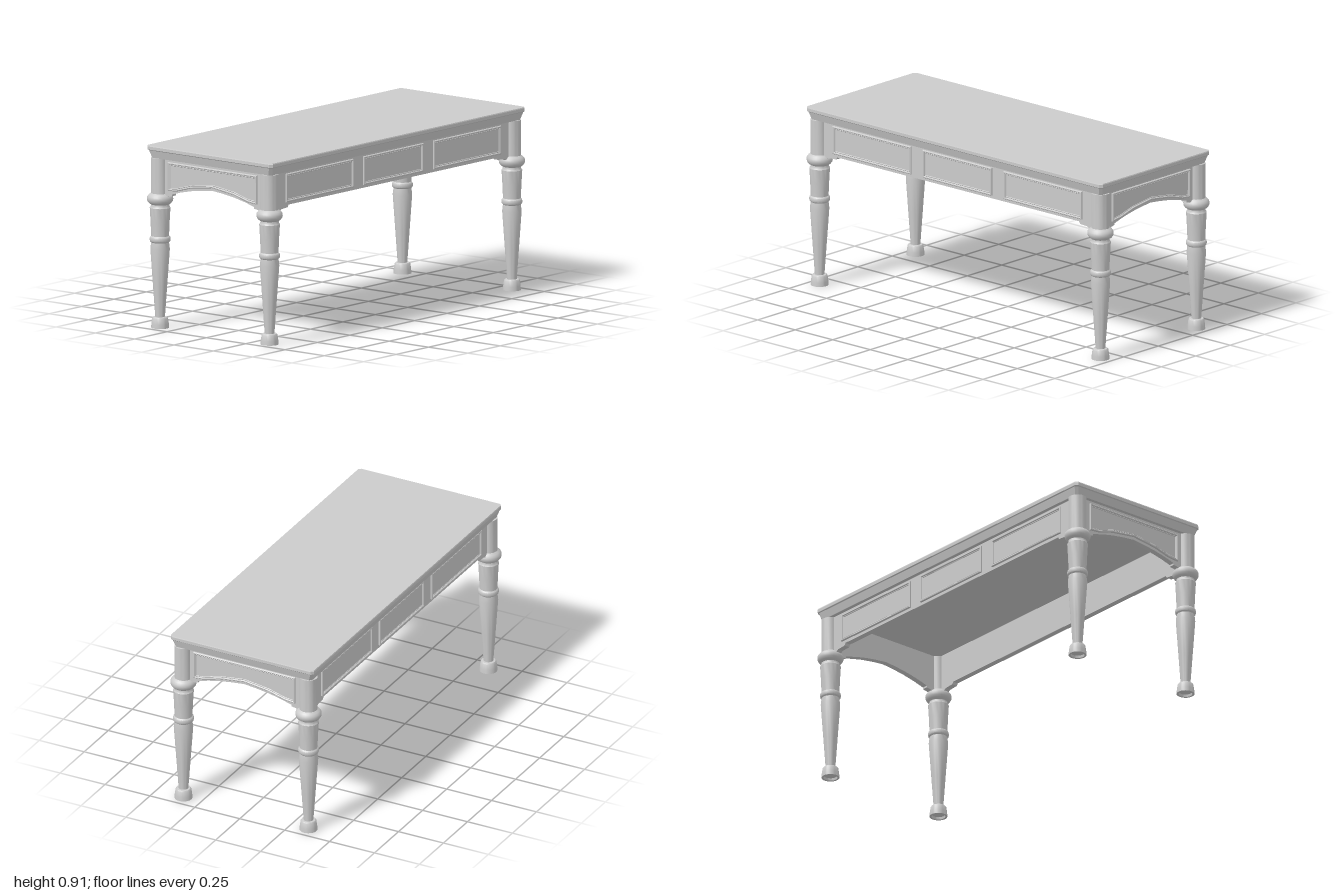
import * as THREE from 'three';
import { toCreasedNormals } from 'three/addons/utils/BufferGeometryUtils.js';

const material = new THREE.MeshStandardMaterial({ color: 0xcccccc });
const TOP_Y = 0.85;

function part(name, geometry, crease = 0.6) {
  const mesh = new THREE.Mesh(toCreasedNormals(geometry, crease), material);
  mesh.name = name;
  return mesh;
}

const points = (list) => list.map(([x, y]) => new THREE.Vector2(x, y));

// Closes a left-right symmetric outline from its right half (listed bottom to top)
function mirrored(half) {
  const left = half.filter(([x]) => x > 0).map(([x, y]) => [-x, y]).reverse();
  return points([...half, ...left]);
}

// Turned leg with a slightly hollow foot
function legGeometry() {
  const profile = [
    [0, 0.012], [0.032, 0.012], [0.034, 0], [0.044, 0], [0.043, 0.02], [0.039, 0.048],
    [0.035, 0.054], [0.024, 0.055], [0.035, 0.21], [0.048, 0.395], [0.044, 0.427],
    [0.05, 0.433], [0.052, 0.443], [0.05, 0.453], [0.044, 0.459], [0.047, 0.53],
    [0.051, 0.6], [0.046, 0.607], [0.045, 0.617], [0.056, 0.624], [0.063, 0.634],
    [0.065, 0.645], [0.063, 0.656], [0.056, 0.665], [0.045, 0.673], [0.045, TOP_Y], [0, TOP_Y],
  ];
  return new THREE.LatheGeometry(points(profile), 28);
}

// Top slab with clipped corners and an undercut edge, lofted from level loops
function topGeometry() {
  const levels = [ // y, half width, half depth
    [TOP_Y, 0.969, 0.382], [0.888, 0.98, 0.394], [0.892, 0.985, 0.399],
    [0.907, 0.985, 0.399], [0.912, 0.983, 0.397],
  ];
  const c = 0.013, verts = [], index = [];
  for (const [y, w, d] of levels) {
    const loop = [[w, d - c], [w - c, d], [c - w, d], [-w, d - c],
      [-w, c - d], [c - w, -d], [w - c, -d], [w, c - d]];
    for (const [x, z] of loop) verts.push(x, y, z);
  }
  const last = (levels.length - 1) * 8;
  for (let l = 0; l < last; l += 8) {
    for (let i = 0; i < 8; i++) {
      const a = l + i, b = l + (i + 1) % 8;
      index.push(a, a + 8, b, b, a + 8, b + 8);
    }
  }
  for (let i = 1; i < 7; i++) {
    index.push(0, i, i + 1, last, last + i + 1, last + i);
  }
  const geo = new THREE.BufferGeometry();
  geo.setAttribute('position', new THREE.Float32BufferAttribute(verts, 3));
  geo.setIndex(index);
  return geo;
}

function board(outline, depth) {
  return new THREE.ExtrudeGeometry(new THREE.Shape(outline), { depth, bevelEnabled: false });
}

// Raised moulding around a panel; outlineAt(inset) gives the nested outlines
function panel(name, outlineAt, z) {
  const group = new THREE.Group();
  group.name = name;
  const ring = (from, to, height) => {
    const shape = new THREE.Shape(outlineAt(from));
    shape.holes.push(new THREE.Path(outlineAt(to)));
    return new THREE.ExtrudeGeometry(shape, {
      depth: height - 0.003, bevelThickness: 0.003, bevelSize: 0.003, bevelOffset: -0.003, bevelSegments: 1,
    });
  };
  group.add(part('outerMoulding', ring(0, 0.01, 0.009), 0.2));
  group.add(part('innerMoulding', ring(0.009, 0.017, 0.005), 0.2));
  group.add(part('panelField', board(outlineAt(0.016), 0.003), 0.2));
  group.position.z = z;
  return group;
}

const rectangle = (x0, x1, y0, y1) => (i) =>
  points([[x0 + i, y0 + i], [x1 - i, y0 + i], [x1 - i, y1 - i], [x0 + i, y1 - i]]);

// Long apron with stepped brackets and three panels
function longApron() {
  const group = new THREE.Group();
  const outline = mirrored([
    [0.805, 0.68], [0.812, 0.668], [0.86, 0.665], [0.885, 0.652], [0.93, 0.652], [0.93, TOP_Y],
  ]);
  const body = part('apronBoard', board(outline, 0.03), 0.3);
  body.position.z = -0.03;
  group.add(body);
  for (const [x0, x1] of [[-0.83, -0.31], [-0.232, 0.228], [0.308, 0.828]]) {
    group.add(panel('drawerPanel', rectangle(x0, x1, 0.695, 0.837), 0));
  }
  return group;
}

// Short apron with a pointed arch and one arched panel
function endApron() {
  const group = new THREE.Group();
  const outline = mirrored([
    [0, 0.725], [0.068, 0.718], [0.135, 0.708], [0.2, 0.694], [0.26, 0.677], [0.26, 0.668],
    [0.285, 0.664], [0.295, 0.657], [0.34, 0.657], [0.34, TOP_Y],
  ]);
  const body = part('apronBoard', board(outline, 0.03), 0.3);
  body.position.z = -0.03;
  group.add(body);
  const arched = (i) => mirrored([
    [0, 0.74 + i], [0.135, 0.722 + i], [0.225, 0.697 + i], [0.283 - i, 0.692 + i], [0.283 - i, 0.836 - i],
  ]);
  group.add(panel('archedPanel', arched, 0));
  return group;
}

export function createModel() {
  const table = new THREE.Group();
  table.name = 'table';
  table.add(part('tableTop', topGeometry(), 0.1));

  // Four legs
  const leg = part('leg', legGeometry());
  for (const x of [-0.935, 0.935]) {
    for (const z of [-0.348, 0.348]) {
      const copy = leg.clone();
      copy.position.set(x, 0, z);
      table.add(copy);
    }
  }

  // Aprons on all four sides
  for (const s of [1, -1]) {
    const long = longApron();
    long.name = s > 0 ? 'frontApron' : 'backApron';
    long.position.z = s * 0.362;
    long.rotation.y = s > 0 ? 0 : Math.PI;
    const end = endApron();
    end.name = s > 0 ? 'leftApron' : 'rightApron';
    end.position.x = s * 0.949;
    end.rotation.y = s * Math.PI / 2;
    table.add(long, end);
  }
  return table;
}
